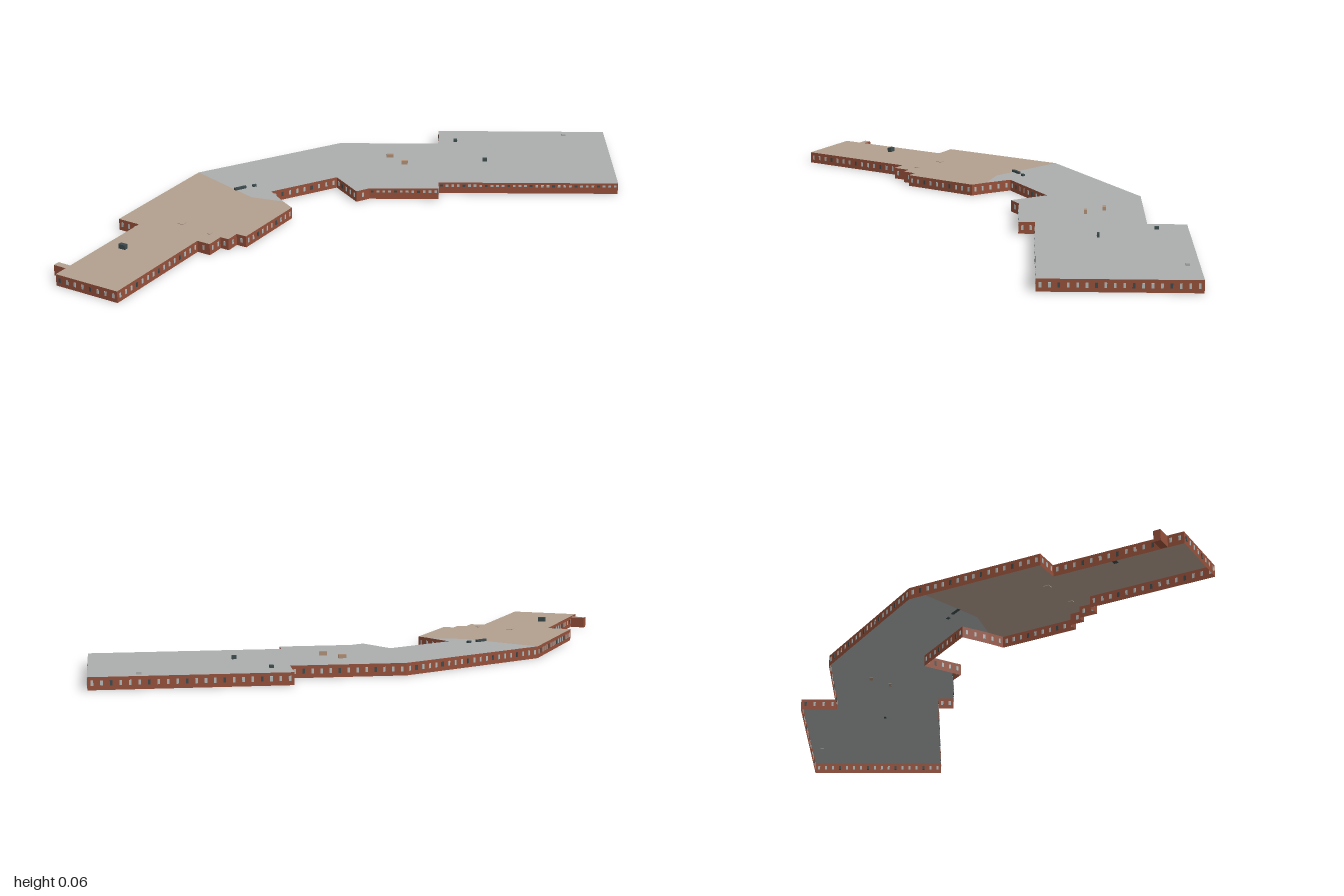
import * as THREE from 'three';
import { mergeGeometries } from 'three/addons/utils/BufferGeometryUtils.js';

const H = 0.041; // wall height

function material(name, color, double = false) {
  const m = new THREE.MeshStandardMaterial({ color, side: double ? THREE.DoubleSide : THREE.FrontSide });
  m.name = name;
  return m;
}

export function createModel() {
  const model = new THREE.Group();
  model.name = 'lowRiseBuilding';
  const brick = material('brick', 0x96503a, true);
  const greyRoof = material('grey roofing', 0xacaeae, true);
  const tanRoof = material('tan roofing', 0xb29f8f, true);
  const pale = material('pale window', 0xb4b9b8);
  const dark = material('dark metal and glass', 0x3c4a4c);
  const paleTan = material('tan unit', 0xb09078);

  const add = (name, geometry, mat) => {
    const mesh = new THREE.Mesh(geometry, mat);
    mesh.name = name;
    model.add(mesh);
    return mesh;
  };

  // Plan outlines as [x, z]; both wings meet along the bent roof seam
  const seam = [[-0.246, -0.016], [-0.36, -0.06]];
  const eastWing = [
    [-0.556, -0.294], [-0.025, -0.56], [0.353, -0.537], [0.362, -0.67], [1, -0.631],
    [0.967, -0.126], [0.318, -0.163], [0.313, -0.107], [0.064, -0.121], [0.016, -0.096],
    [-0.05, -0.227], [-0.289, -0.107], [-0.246, -0.016],
  ];
  const westWing = [
    [-0.246, -0.016], [-0.217, 0.037], [-0.374, 0.269], [-0.406, 0.248], [-0.433, 0.289],
    [-0.46, 0.271], [-0.495, 0.325], [-0.537, 0.297], [-0.776, 0.663], [-0.984, 0.53],
    [-0.743, 0.155], [-0.815, 0.107], [-0.556, -0.294],
  ];

  // Flat roof or floor over an outline
  const slab = (points, y) => {
    const shape = new THREE.Shape(points.map(([x, z]) => new THREE.Vector2(x, -z)));
    return new THREE.ShapeGeometry(shape).rotateX(-Math.PI / 2).translate(0, y, 0);
  };
  add('eastRoof', slab([...eastWing, seam[1]], H), greyRoof);
  add('westRoof', slab([...westWing, seam[1]], H), tanRoof);

  // Upright rectangle between two plan points
  const wall = ([x1, z1], [x2, z2], height) => {
    const g = new THREE.PlaneGeometry(Math.hypot(x2 - x1, z2 - z1), height);
    g.rotateY(-Math.atan2(z2 - z1, x2 - x1));
    return g.translate((x1 + x2) / 2, height / 2, (z1 + z2) / 2);
  };

  // Brick walls with evenly spaced windows showing on both faces
  const walls = [], paleWindows = [], darkWindows = [];
  const addWindows = (a, b, small) => {
    const dx = b[0] - a[0], dz = b[1] - a[1], length = Math.hypot(dx, dz);
    const count = Math.max(1, Math.floor(length / (small ? 0.02 : 0.028)));
    const [w, h, y] = small ? [0.01, 0.008, 0.029] : [0.008, 0.016, 0.022];
    for (let i = 0; i < count; i++) {
      const t = (i + 0.5) / count;
      const g = new THREE.BoxGeometry(w, h, 0.003).rotateY(-Math.atan2(dz, dx));
      g.translate(a[0] + dx * t, y, a[1] + dz * t);
      (i % 4 === 3 ? darkWindows : paleWindows).push(g);
    }
  };
  for (const wing of [eastWing, westWing]) {
    for (let i = 0; i < wing.length - 1; i++) {
      const a = wing[i], b = wing[i + 1];
      walls.push(wall(a, b, H));
      // Long front walls of the east wing have small high windows
      const small = wing === eastWing && (i === 5 || i === 7);
      addWindows(a, b, small);
    }
  }
  add('brickWalls', mergeGeometries(walls), brick);
  add('paleWindows', mergeGeometries(paleWindows), pale);
  add('darkWindows', mergeGeometries(darkWindows), dark);

  // Small entrance porch at the west end
  const porch = [[-0.999, 0.455], [-0.985, 0.435], [-0.943, 0.463], [-0.955, 0.484]];
  add('porchWalls', mergeGeometries([
    ...porch.map((p, i) => wall(p, porch[(i + 1) % 4], 0.038)), slab(porch, 0.001),
  ]), brick);
  add('porchRoof', slab(porch, 0.038), tanRoof);

  // Rooftop units: name, x, z, width, depth, top height, turn, material
  const units = [
    ['westVent', -0.782, 0.345, 0.026, 0.015, 0.057, -0.55, dark],
    ['cornerDuct', -0.4, -0.135, 0.045, 0.01, 0.049, 0.5, dark],
    ['cornerVent', -0.35, -0.157, 0.014, 0.01, 0.048, 0.5, dark],
    ['largeUnit', 0.157, -0.412, 0.026, 0.012, 0.053, -0.06, paleTan],
    ['middleUnit', 0.206, -0.343, 0.024, 0.01, 0.055, -0.06, paleTan],
    ['rearVent', 0.417, -0.561, 0.014, 0.014, 0.049, -0.06, dark],
    ['eastVent', 0.507, -0.358, 0.016, 0.009, 0.054, -0.06, dark],
    ['farVent', 0.84, -0.602, 0.016, 0.012, 0.048, -0.06, greyRoof],
    ['westSkylight', -0.595, 0.152, 0.022, 0.022, 0.043, 0.99, tanRoof],
    ['frontSkylight', -0.497, 0.24, 0.016, 0.012, 0.043, 0.99, tanRoof],
  ];
  for (const [name, x, z, w, d, top, turn, mat] of units) {
    const unit = add(name, new THREE.BoxGeometry(w, top - H + 0.002, d), mat);
    unit.position.set(x, (top + H - 0.002) / 2, z);
    unit.rotation.y = turn;
  }
  return model;
}
